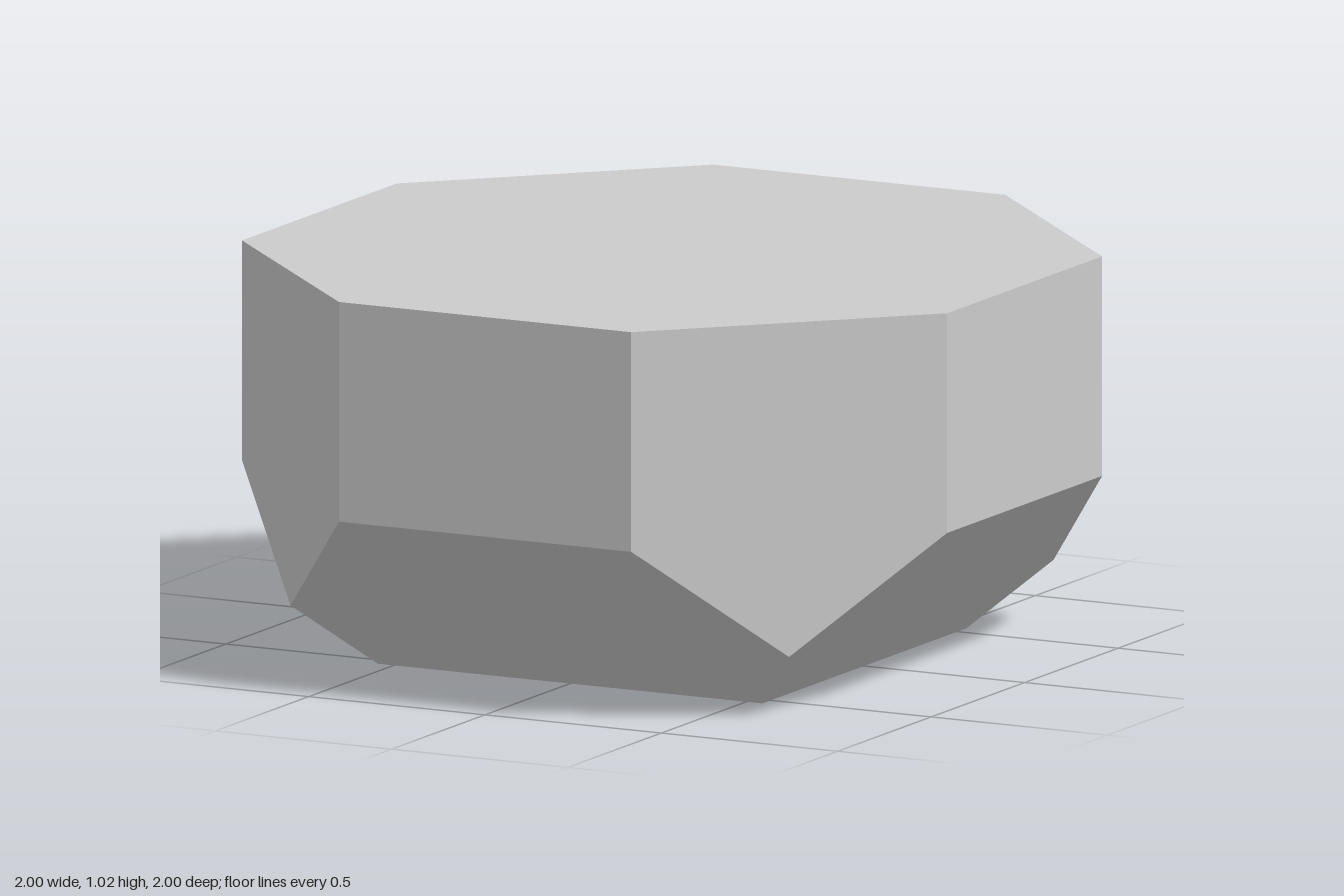
import * as THREE from 'three';
import { ConvexGeometry } from 'three/addons/geometries/ConvexGeometry.js';

export function createModel() {
  const group = new THREE.Group();
  group.name = 'facetedBlock';

  const top = 1.016;             // height of the flat top
  const shoulder = 0.455;        // where the four sloped undersides begin
  const a = Math.SQRT2 - 1;      // half side of the regular octagon
  const d = Math.SQRT1_2;        // where neighbouring slopes meet a diagonal wall
  const points = [];

  // Corners mirrored into all four quadrants
  for (const sx of [-1, 1]) {
    for (const sz of [-1, 1]) {
      const add = (x, y, z) => points.push(new THREE.Vector3(sx * x, y, sz * z));
      // Octagonal walls
      for (const y of [shoulder, top]) {
        add(1, y, a);
        add(a, y, 1);
      }
      // Lower tip of the diagonal wall
      add(d, shoulder - (1 - d), d);
      // Square base, reached by 45 degree slopes
      add(1 - shoulder, 0, 1 - shoulder);
    }
  }

  const body = new THREE.Mesh(
    new ConvexGeometry(points),
    new THREE.MeshStandardMaterial({ color: 0xcccccc, flatShading: true })
  );
  body.name = 'body';
  group.add(body);
  return group;
}
